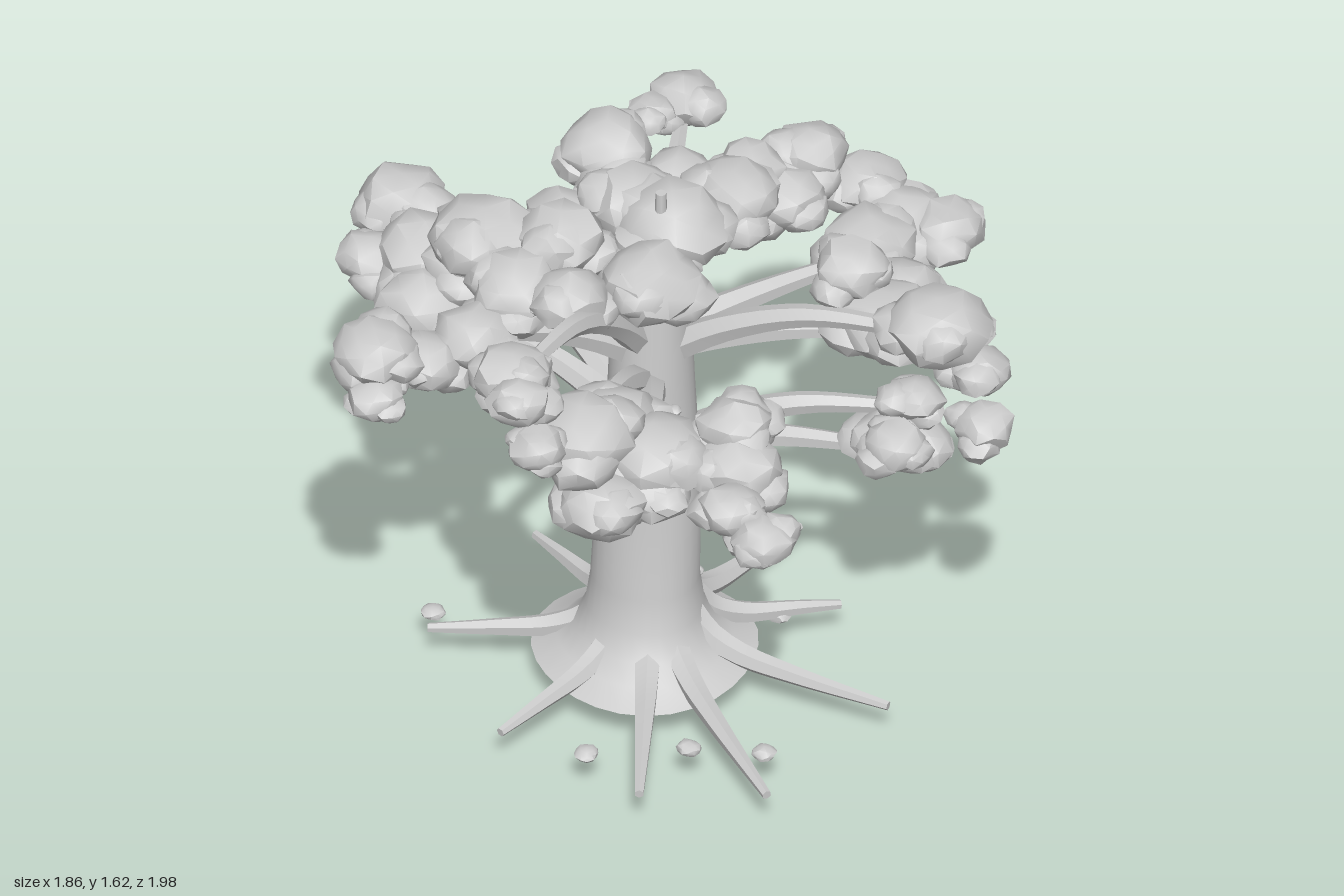
import * as THREE from 'three';
import { mergeVertices, toCreasedNormals } from 'three/addons/utils/BufferGeometryUtils.js';

export function createModel() {
  const tree = new THREE.Group();
  tree.name = 'broadTree';
  const gray = new THREE.MeshStandardMaterial({ color: 0xcccccc });
  gray.name = 'plain gray';

  let seed = 11;
  const rand = () => {
    seed = (seed * 16807) % 2147483647;
    return seed / 2147483647;
  };
  const add = (parent, geometry, name) => {
    const mesh = new THREE.Mesh(geometry, gray);
    mesh.name = name;
    parent.add(mesh);
    return mesh;
  };
  const group = (name) => {
    const g = new THREE.Group();
    g.name = name;
    tree.add(g);
    return g;
  };
  const v = (x, y, z) => new THREE.Vector3(x, y, z);

  // Tube whose radius narrows along its path, closed by a blunt end
  function taperedTube(points, r0, r1, sides = 6, segments = 14) {
    const path = new THREE.CatmullRomCurve3(points);
    const geo = new THREE.TubeGeometry(path, segments, 1, sides);
    const pos = geo.attributes.position;
    const p = new THREE.Vector3();
    for (let i = 0; i <= segments; i++) {
      const u = Math.min(1, i / (segments - 1));
      const from = path.getPointAt(i / segments), to = path.getPointAt(u);
      const r = i === segments ? 0.0005 : r0 + (r1 - r0) * u;
      for (let j = 0; j <= sides; j++) {
        const k = i * (sides + 1) + j;
        p.fromBufferAttribute(pos, k).sub(from).multiplyScalar(r).add(to);
        pos.setXYZ(k, p.x, p.y, p.z);
      }
    }
    return toCreasedNormals(geo, 0.8);
  }

  // Irregular, flattened low-poly lump
  function lump(r, flat) {
    let geo = new THREE.IcosahedronGeometry(1, 1);
    geo.deleteAttribute('normal');
    geo.deleteAttribute('uv');
    geo = mergeVertices(geo, 1e-4);
    const pos = geo.attributes.position;
    for (let i = 0; i < pos.count; i++) {
      const s = r * (0.9 + rand() * 0.23);
      pos.setXYZ(i, pos.getX(i) * s, pos.getY(i) * s * flat, pos.getZ(i) * s);
    }
    geo.rotateY(rand() * 6.28);
    return toCreasedNormals(geo, 0.72);
  }

  // Trunk: flared foot, slight lean and uneven bark
  const profile = [[0, 0.108], [0.305, 0.108], [0.235, 0.145], [0.19, 0.19], [0.16, 0.26], [0.147, 0.36],
    [0.142, 0.6], [0.128, 0.82], [0.117, 1], [0.108, 1.25], [0.1, 1.48], [0, 1.53]]
    .map(([x, y]) => new THREE.Vector2(x, y));
  const trunk = new THREE.LatheGeometry(profile, 28);
  const tp = trunk.attributes.position;
  for (let i = 0; i < tp.count; i++) {
    const x = tp.getX(i), y = tp.getY(i), z = tp.getZ(i);
    const k = 1 + 0.03 * Math.sin(Math.atan2(z, x) * 3 + y * 6);
    tp.setXYZ(i, x * k - 0.025 + y * 0.025, y, z * k);
  }
  add(tree, toCreasedNormals(trunk, 0.9), 'trunk');
  add(tree, new THREE.CylinderGeometry(0.015, 0.018, 0.13, 8), 'topStub').position.set(0.02, 1.555, 0.02);

  // Roots spreading from the foot of the trunk
  const roots = group('roots');
  for (const [x, z] of [[-0.55, 0.4], [-0.34, 0.67], [0.17, 0.68], [0.44, 0.3], [0.64, 0],
    [0.62, -0.34], [0.17, -0.53], [-0.33, -0.5], [-0.57, -0.06]]) {
    const len = Math.hypot(x, z), c = x / len, s = z / len;
    const at = (r, y) => v(c * r, y, s * r);
    add(roots, taperedTube([at(0.11, 0.25), at(0.165, 0.19), at(0.26, 0.148), at(0.42, 0.128), at(len, 0.112)],
      0.044, 0.013), 'root');
  }

  // Thin rootlets hanging under the foot
  add(roots, taperedTube([v(-0.11, 0.12, -0.11), v(-0.125, 0.07, -0.12), v(-0.12, 0, -0.13)], 0.003, 0.002, 4, 6), 'rootlet');
  add(roots, taperedTube([v(0.08, 0.12, -0.1), v(0.085, 0.06, -0.11)], 0.003, 0.002, 4, 6), 'rootlet');

  // Loose stones
  const stones = group('stones');
  for (const [x, z] of [[-0.5, 0.18], [-0.31, 0.38], [-0.2, 0.55], [-0.27, -0.53], [0.3, 0.2]])
    add(stones, lump(0.033, 0.55), 'stone').position.set(x, 0.115, z);

  // Bark knots half sunk in the trunk
  const knots = group('knots');
  for (const [a, y] of [[1.75, 0.3], [0.75, 0.34], [0.1, 0.58], [3, 0.72], [-0.5, 0.46], [1.9, 0.98], [4.2, 0.65], [5, 0.4]]) {
    const knot = add(knots, lump(0.02, 0.6), 'knot');
    knot.position.set(Math.cos(a) * 0.132 - 0.012, y, Math.sin(a) * 0.132);
  }

  // A bough: branches leave the trunk at startY and hold up leaf lumps [x, y, z, r]
  function bough(name, startY, branchEnds, lumps) {
    const g = group(name);
    for (const i of branchEnds) {
      const [x, y, z] = lumps[i];
      const d = Math.hypot(x, z), c = x / d, s = z / d, dy = y - 0.03 - startY;
      const at = (t, h) => v(c * (0.06 + (d - 0.06) * t), startY + dy * h, s * (0.06 + (d - 0.06) * t));
      add(g, taperedTube([at(0, 0), at(0.2, 0.45), at(0.52, 0.88), at(1, 1)], 0.048, 0.018), 'branch');
    }
    lumps.forEach(([x, y, z, r]) => {
      add(g, lump(r, 0.72), 'leafLump').position.set(x, y, z);
      // smaller lumps crowding the sides and underside
      const turn = rand() * 6.28;
      for (let i = 0; i < 3; i++) {
        const a = turn + i * 2.09, size = r * (0.6 + rand() * 0.15), out = r * (0.5 + rand() * 0.15);
        add(g, lump(size, 0.75), 'smallLeafLump')
          .position.set(x * 0.98 + Math.cos(a) * out, y + r * (0.1 - i * 0.25), z * 0.98 + Math.sin(a) * out);
      }
    });
  }

  bough('crown', 1.3, [], [[0.09, 1.48, -0.13, 0.12], [0.08, 1.47, 0.01, 0.15], [-0.1, 1.42, 0.08, 0.14]]);
  bough('backBough', 0.84, [3, 5], [[0.03, 1.165, -0.88, 0.12], [-0.17, 1.12, -0.82, 0.09],
    [-0.09, 1.14, -0.7, 0.14], [-0.22, 1.09, -0.6, 0.13], [-0.09, 1.18, -0.56, 0.12], [0.08, 1.09, -0.67, 0.115]]);
  bough('backLeftBough', 1.08, [0, 4], [[0.34, 1.38, -0.42, 0.12], [0.27, 1.31, -0.32, 0.12],
    [0.41, 1.3, -0.24, 0.11], [0.12, 1.28, -0.4, 0.1], [0.67, 1.34, -0.42, 0.095], [0.56, 1.35, -0.44, 0.065]]);
  bough('leftBough', 1.14, [0, 6], [[0.37, 1.39, -0.01, 0.12], [0.53, 1.35, -0.08, 0.095],
    [0.56, 1.28, 0.01, 0.11], [0.71, 1.33, -0.02, 0.1], [0.81, 1.22, 0.1, 0.1], [0.77, 1.17, 0.24, 0.13],
    [0.62, 1.2, 0.26, 0.13], [0.82, 1.19, 0.37, 0.1]]);
  bough('frontLeftBough', 1.12, [0, 1], [[0.27, 1.38, 0.77, 0.135], [0.37, 1.22, 0.53, 0.14],
    [0.3, 1.41, 0.45, 0.1], [0.5, 1.2, 0.45, 0.115], [0.54, 1.15, 0.65, 0.08], [0.3, 1.09, 0.91, 0.08],
    [0.42, 1.15, 0.79, 0.085]]);
  bough('lowFrontBough', 0.8, [0, 3], [[0.28, 0.91, 0.6, 0.105], [0.33, 0.89, 0.65, 0.095],
    [0.23, 0.95, 0.66, 0.085], [0.36, 1.01, 0.62, 0.08]]);
  bough('frontRightBough', 0.85, [2], [[-0.3, 1.13, 0.53, 0.125], [-0.13, 1.12, 0.42, 0.105],
    [-0.44, 1.12, 0.63, 0.09], [-0.46, 1.08, 0.75, 0.085], [-0.34, 1.03, 0.58, 0.085], [-0.24, 1.21, 0.48, 0.1]]);
  bough('rightBough', 1.02, [0, 1], [[-0.6, 1.27, 0.24, 0.145], [-0.42, 1.15, 0.34, 0.145],
    [-0.62, 1.1, 0.33, 0.12], [-0.39, 1.18, 0.2, 0.12], [-0.48, 1.09, 0.4, 0.1]]);
  bough('highRightBough', 1.17, [0], [[-0.76, 1.53, 0.13, 0.1], [-0.85, 1.41, 0.29, 0.075],
    [-0.68, 1.42, 0.08, 0.09], [-0.83, 1.52, 0.21, 0.085]]);
  bough('backRightBough', 1.12, [0], [[-0.76, 1.38, -0.34, 0.11], [-0.65, 1.32, -0.26, 0.1],
    [-0.51, 1.35, -0.2, 0.115], [-0.83, 1.3, -0.28, 0.08]]);
  bough('innerRightBough', 1.17, [0], [[-0.26, 1.46, -0.36, 0.14], [-0.35, 1.43, -0.18, 0.12],
    [-0.16, 1.48, -0.18, 0.12], [-0.31, 1.44, -0.03, 0.11], [-0.13, 1.38, -0.3, 0.1]]);

  return tree;
}
